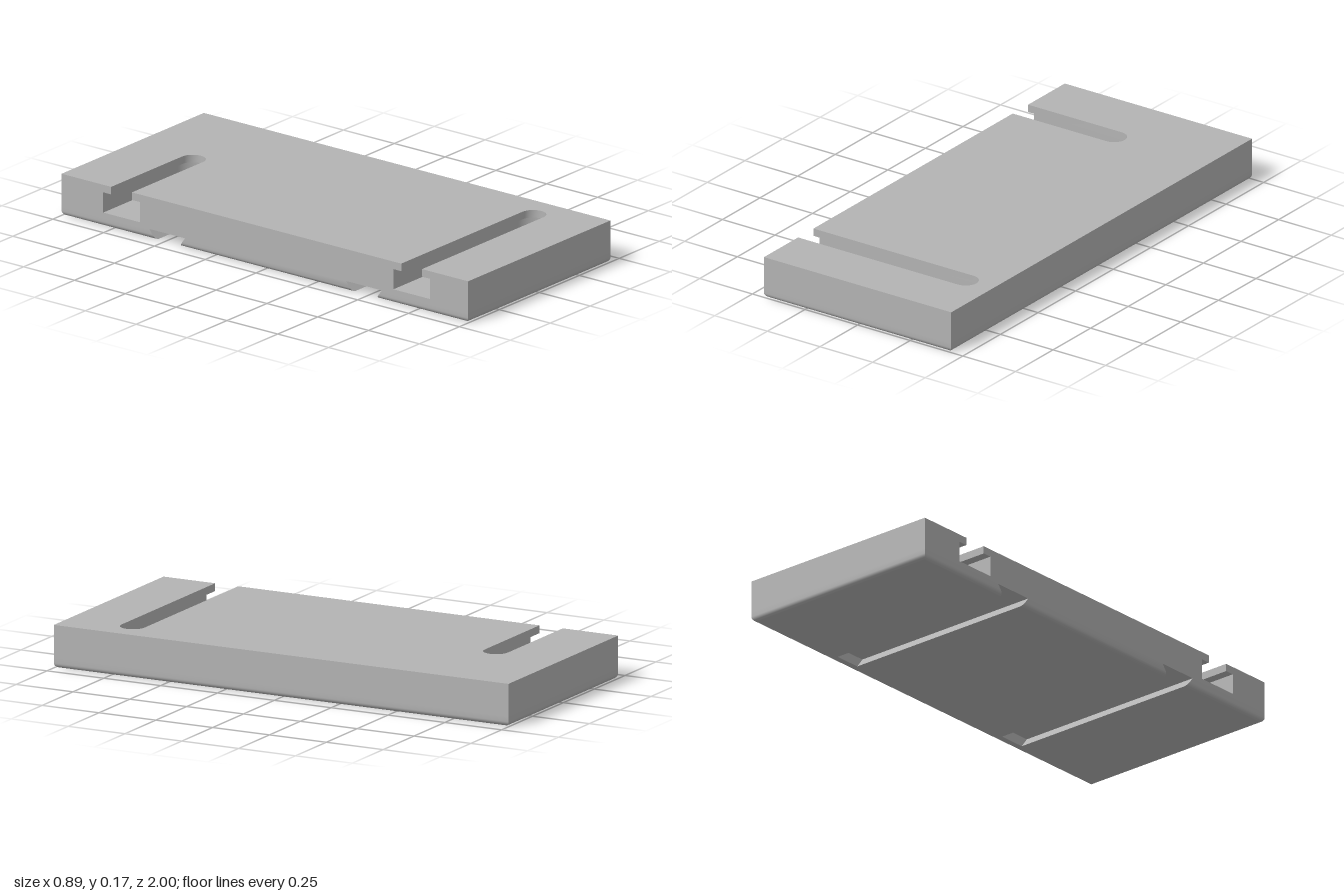
import * as THREE from 'three';
import { mergeGeometries, toCreasedNormals } from 'three/addons/utils/BufferGeometryUtils.js';

const X = 0.445, Z = 1, TOP = 0.171, FILLET = 0.02;
const GROOVE_TOP = 0.04, SLOT_FLOOR = 0.057, LIP = 0.14;

// T-slots open at the -x side: centre z, x of the round end's centre
const slots = [{ z: -0.705, x: 0.0 }, { z: 0.722, x: 0.315 }];
const SLOT_HALF = 0.051, INNER_HALF = 0.09;
// dovetail grooves in the underside: centre z
const grooves = [-0.48, 0.488];
const GROOVE_END = 0.405;

// plan path of a round-ended slot, from its -z side round to its +z side
function slotPath({ z, x }, half) {
  const pts = [[-X, z - half]];
  for (let i = 0; i <= 16; i++) {
    const a = -Math.PI / 2 + (Math.PI * i) / 16;
    pts.push([x + half * Math.cos(a), z + half * Math.sin(a)]);
  }
  pts.push([-X, z + half]);
  return pts;
}

// plan path of a groove, wider higher up
function groovePath(z, y, inset = 0) {
  const h = 0.058 + (0.03 * y) / GROOVE_TOP;
  return [[inset - X, z - h], [GROOVE_END, z - h], [GROOVE_END, z + h], [inset - X, z + h]];
}

// slab outline, counterclockwise from above, with notches in the -x side
function outline(notches, inset = 0) {
  const x = X - inset, z = Z - inset;
  return [[-x, -z], ...notches.flat(), [-x, z], [x, z], [x, -z]];
}

// side walls through a stack of outlines: [y, points]
function walls(levels) {
  const pos = [];
  for (let k = 0; k + 1 < levels.length; k++) {
    const [y0, p] = levels[k], [y1, q] = levels[k + 1];
    for (let i = 0; i < p.length; i++) {
      const j = (i + 1) % p.length;
      const a = [p[i][0], y0, p[i][1]], b = [p[j][0], y0, p[j][1]];
      const c = [q[j][0], y1, q[j][1]], d = [q[i][0], y1, q[i][1]];
      pos.push(...a, ...b, ...c, ...a, ...c, ...d);
    }
  }
  const g = new THREE.BufferGeometry();
  g.setAttribute('position', new THREE.Float32BufferAttribute(pos, 3));
  g.computeVertexNormals();
  return g;
}

// flat horizontal face looking up or down
function cap(points, y, up) {
  const shape = new THREE.Shape(points.map(([x, z]) => new THREE.Vector2(x, up ? -z : z)));
  const g = new THREE.ShapeGeometry(shape).toNonIndexed();
  g.deleteAttribute('uv');
  return g.rotateX(up ? -Math.PI / 2 : Math.PI / 2).translate(0, y, 0);
}

export function createModel() {
  const grey = new THREE.MeshStandardMaterial({ color: 0xb3b3b3 });
  grey.name = 'plain grey';
  const group = new THREE.Group();
  group.name = 'slottedPlate';

  const add = (name, parts) => {
    const mesh = new THREE.Mesh(toCreasedNormals(mergeGeometries(parts), Math.PI / 6), grey);
    mesh.name = name;
    group.add(mesh);
  };

  // underside: rounded bottom edge and dovetail grooves
  const level = (y, inset) => [y, outline(grooves.map((z) => groovePath(z, y, inset)), inset)];
  const base = [];
  for (let i = 0; i <= 6; i++) {
    const t = (Math.PI / 2) * (i / 6);
    base.push(level(FILLET * (1 - Math.cos(t)), FILLET * (1 - Math.sin(t))));
  }
  base.push(level(GROOVE_TOP, 0));
  add('groovedBase', [
    walls(base),
    cap(base[0][1], 0, false),
    ...grooves.map((z) => cap(groovePath(z, GROOVE_TOP), GROOVE_TOP, false)),
  ]);

  // solid web between grooves and slots
  const plain = outline([]);
  const wide = slots.map((s) => slotPath(s, INNER_HALF));
  const narrow = slots.map((s) => slotPath(s, SLOT_HALF));
  add('web', [
    walls([[GROOVE_TOP, plain], [SLOT_FLOOR, plain]]),
    ...wide.map((p) => cap(p, SLOT_FLOOR, true)),
  ]);

  // wide lower part of the T-slots, roofed by the lips
  add('slotChannels', [
    walls([[SLOT_FLOOR, outline(wide)], [LIP, outline(wide)]]),
    ...wide.map((p, i) => cap([...p, ...[...narrow[i]].reverse()], LIP, false)),
  ]);

  // top plate with the narrow slot openings
  add('topPlate', [
    walls([[LIP, outline(narrow)], [TOP, outline(narrow)]]),
    cap(outline(narrow), TOP, true),
  ]);

  return group;
}
